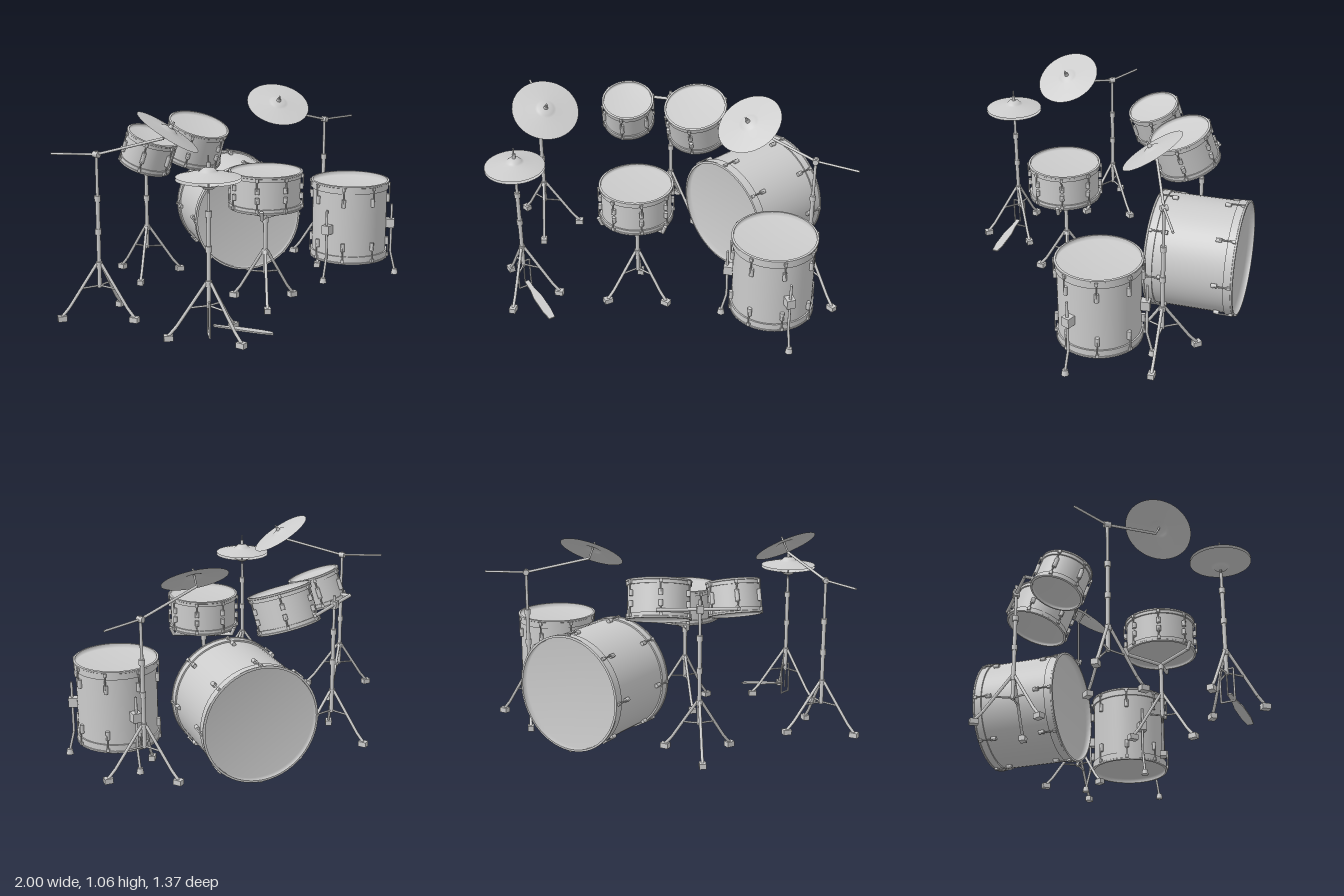
import * as THREE from 'three';

const grey = new THREE.MeshStandardMaterial({ color: 0xcccccc });
const thin = new THREE.MeshStandardMaterial({ color: 0xcccccc, side: THREE.DoubleSide });
const V = (x, y, z) => new THREE.Vector3(x, y, z);
const UP = V(0, 1, 0);
const rad = THREE.MathUtils.degToRad;

function add(parent, name, geo, pos = V(0, 0, 0), mat = grey) {
  const m = new THREE.Mesh(geo, mat);
  m.name = name;
  m.position.copy(pos);
  parent.add(m);
  return m;
}

function group(parent, name, pos = V(0, 0, 0)) {
  const g = new THREE.Group();
  g.name = name;
  g.position.copy(pos);
  parent.add(g);
  return g;
}

// Round bar between two points
function rod(parent, name, a, b, r = 0.008) {
  const d = b.clone().sub(a);
  const m = add(parent, name, new THREE.CylinderGeometry(r, r, d.length(), 12), a.clone().add(b).multiplyScalar(0.5));
  m.quaternion.setFromUnitVectors(UP, d.normalize());
  return m;
}

// Lathe whose profile points are doubled, giving sharp edges
function sharpLathe(points, segments = 48) {
  const pts = points.flatMap(([x, y, soft]) => (soft ? [new THREE.Vector2(x, y)] : [new THREE.Vector2(x, y), new THREE.Vector2(x, y)]));
  return new THREE.LatheGeometry(pts, segments);
}

// Drum along y, centred on its group: shell, hoops, recessed heads and lugs
function drum(parent, name, pos, { r, h, shell, hoop, lugs, phase, recess = 0.025, lug = 0.045 }) {
  const g = group(parent, name, pos);
  const H = h / 2, inner = r - 0.011;
  const half = [
    [shell, H - hoop], [r - 0.003, H - hoop], [r - 0.003, H - 0.012], [r, H - 0.01],
    [r, H - 0.002], [r - 0.003, H], [inner, H], [inner, H - recess, true], [0, H - recess, true],
  ];
  const lower = half.map(([x, y, s]) => [x, -y, s]).reverse();
  add(g, 'shellAndHeads', sharpLathe([...lower, ...half], 56));
  for (const s of [-1, 1]) {
    for (let i = 0; i < lugs; i++) {
      const a = phase + (i / lugs) * Math.PI * 2;
      const out = V(Math.cos(a), 0, Math.sin(a));
      const at = (d, y) => out.clone().multiplyScalar(d).setY(s * y);
      const y0 = H - hoop - 0.03 - lug / 2;
      const body = add(g, 'lug', new THREE.CylinderGeometry(0.011, 0.011, lug, 10), at(shell + 0.007, y0));
      body.rotation.y = -a;
      rod(g, 'tensionRod', at(r + 0.004, y0), at(r + 0.004, H - 0.015), 0.004);
      const claw = add(g, 'claw', new THREE.BoxGeometry(0.012, 0.018, 0.016), at(r + 0.002, H - 0.018));
      claw.rotation.y = -a;
    }
  }
  return g;
}

// Tripod base with a telescopic post; leg angles are degrees from +x towards +z
function stand(parent, name, x, z, top, angles, reach = 0.195) {
  const g = group(parent, name, V(x, 0, z));
  rod(g, 'lowerPost', V(0, 0.16, 0), V(0, Math.min(0.62, top - 0.02), 0), 0.011);
  rod(g, 'upperPost', V(0, 0.3, 0), V(0, top, 0), 0.008);
  for (const y of [0.28, 0.45, 0.62].filter((v) => v < top)) {
    add(g, 'collar', new THREE.CylinderGeometry(0.016, 0.016, 0.03, 14), V(0, y, 0));
  }
  for (const deg of angles) {
    const a = rad(deg);
    const at = (d, y) => V(Math.cos(a) * d, y, Math.sin(a) * d);
    rod(g, 'leg', at(0.012, 0.285), at(reach * 0.8, 0.07), 0.008);
    rod(g, 'legEnd', at(reach * 0.8, 0.07), at(reach, 0.025), 0.008);
    rod(g, 'strut', at(0, 0.17), at(reach * 0.5, 0.162), 0.005);
    const foot = add(g, 'foot', new THREE.BoxGeometry(0.045, 0.028, 0.034), at(reach, 0.016));
    foot.rotation.y = -a;
  }
  return g;
}

// Cymbal disc with raised bell
function cymbalGeometry(r, rise) {
  const p = [[r, 0], [r * 0.65, rise * 0.3], [r * 0.32, rise * 0.5], [r * 0.25, rise * 0.65],
    [r * 0.17, rise * 0.93], [0.006, rise]];
  return new THREE.LatheGeometry(p.map(([x, y]) => new THREE.Vector2(x, y)), 48);
}

// Tilted cymbal on a cranked boom stand
function crash(root, name, foot, angles, centre, normal, tail) {
  const s = stand(root, name + 'Stand', foot.x, foot.z, 0.86, angles);
  const local = (v) => v.clone().sub(V(foot.x, 0, foot.z));
  const n = normal.clone().normalize();
  const tip = centre.clone().addScaledVector(n, -0.045);
  const joint = V(0, 0.842, 0);
  rod(s, 'boomArm', joint, local(tip), 0.007);
  rod(s, 'boomTail', joint, local(tail), 0.006);
  const knuckle = add(s, 'boomJoint', new THREE.CylinderGeometry(0.016, 0.016, 0.034, 14), joint);
  knuckle.rotation.x = Math.PI / 2;
  rod(s, 'cymbalRod', local(tip), local(centre.clone().addScaledVector(n, 0.05)), 0.005);
  const c = group(root, name, centre);
  c.quaternion.setFromUnitVectors(UP, n);
  add(c, 'cymbalDisc', cymbalGeometry(0.175, 0.024), V(0, -0.008, 0), thin);
  add(c, 'wingNut', new THREE.CylinderGeometry(0.009, 0.012, 0.018, 12), V(0, 0.024, 0));
}

export function createModel() {
  const root = new THREE.Group();
  root.name = 'drumKit';

  // Bass drum lying on its side
  const bass = drum(root, 'bassDrum', V(0.41, 0.322, -0.238),
    { r: 0.308, h: 0.47, shell: 0.297, hoop: 0.05, lugs: 8, phase: Math.atan2(0.6, 0.8), recess: 0.035, lug: 0.03 });
  bass.quaternion.setFromUnitVectors(UP, V(-0.6, 0, 0.8));

  // Floor tom with three cranked legs
  const floorTom = drum(root, 'floorTom', V(0.625, 0.327, 0.4),
    { r: 0.22, h: 0.445, shell: 0.209, hoop: 0.045, lugs: 8, phase: Math.PI / 8 });
  for (const deg of [60, 180, 300]) {
    const a = rad(deg);
    const at = (d, y) => V(Math.cos(a) * d, y - 0.327, Math.sin(a) * d);
    rod(floorTom, 'floorTomLeg', at(0.238, 0.41), at(0.238, 0.13), 0.007);
    rod(floorTom, 'floorTomLegEnd', at(0.238, 0.13), at(0.265, 0.02), 0.007);
    add(floorTom, 'floorTomFoot', new THREE.CylinderGeometry(0.014, 0.02, 0.03, 12), at(0.265, 0.015));
    const b = add(floorTom, 'legBracket', new THREE.BoxGeometry(0.05, 0.05, 0.045), at(0.23, 0.3));
    b.rotation.y = -a;
  }

  // Snare drum on a basket stand
  drum(root, 'snareDrum', V(-0.11, 0.617, 0.337),
    { r: 0.192, h: 0.195, shell: 0.181, hoop: 0.028, lugs: 8, phase: Math.PI / 8, recess: 0.018, lug: 0.03 });
  const basket = stand(root, 'snareStand', -0.11, 0.337, 0.47, [20, 140, 260], 0.18);
  for (const deg of [30, 150, 270]) {
    const a = rad(deg);
    const at = (d, y) => V(Math.cos(a) * d, y, Math.sin(a) * d);
    rod(basket, 'basketArm', at(0, 0.465), at(0.185, 0.5), 0.01);
    rod(basket, 'basketFork', at(0.185, 0.495), at(0.205, 0.54), 0.01);
  }

  // Two rack toms tilted towards the front, on a shared stand
  const toms = [
    ['smallTom', V(-0.315, 0.778, -0.28), { r: 0.143, h: 0.18, shell: 0.133 }, V(0.06, 0.94, 0.33)],
    ['largeTom', V(0.075, 0.772, -0.283), { r: 0.172, h: 0.205, shell: 0.162 }, V(-0.03, 0.94, 0.33)],
  ];
  const tomStand = stand(root, 'tomStand', -0.12, -0.477, 0.82, [30, 150, 270]);
  rod(tomStand, 'crossBar', V(-0.19, 0.77, 0), V(0.22, 0.77, 0), 0.009);
  add(tomStand, 'crossBarClamp', new THREE.BoxGeometry(0.035, 0.04, 0.035), V(0, 0.77, 0));
  for (const [name, pos, size, axis] of toms) {
    const t = drum(root, name, pos, { ...size, hoop: 0.03, lugs: 6, phase: Math.PI / 6, recess: 0.02, lug: 0.03 });
    t.quaternion.setFromUnitVectors(UP, axis.normalize());
    rod(tomStand, 'tomHolder', V(pos.x + 0.12, 0.77, 0), V(pos.x + 0.12, 0.765, pos.z + 0.477 - size.shell + 0.01), 0.009);
  }

  // Crash cymbals
  crash(root, 'rightCrash', V(-0.81, 0, -0.185), [214, 348, 76], V(-0.645, 0.972, 0.142),
    V(0.325, 0.84, 0.436), V(-0.925, 0.84, -0.385));
  crash(root, 'leftCrash', V(0.775, 0, 0.125), [267, 37, 155], V(0.415, 0.972, 0.045),
    V(-0.325, 0.84, 0.436), V(1.0, 0.84, 0.172));

  // Hi-hat: facing cymbals, pull rod and pedal
  const hat = stand(root, 'hiHatStand', -0.72, 0.445, 0.72, [0, 90, 226]);
  rod(hat, 'pullRod', V(0, 0.05, 0), V(0, 0.9, 0), 0.004);
  add(hat, 'topCymbal', cymbalGeometry(0.155, 0.045), V(0, 0.798, 0), thin);
  const bottom = add(hat, 'bottomCymbal', cymbalGeometry(0.155, 0.045), V(0, 0.784, 0), thin);
  bottom.rotation.x = Math.PI;
  add(hat, 'hiHatClutch', new THREE.CylinderGeometry(0.009, 0.009, 0.03, 12), V(0, 0.853, 0));
  for (const s of [-1, 1]) {
    rod(hat, 'pedalFrame', V(0.025 * s, 0.02, -0.025 * s), V(0.025 * s, 0.19, -0.025 * s), 0.005);
  }
  for (const y of [0.02, 0.19]) rod(hat, 'pedalFrameBar', V(-0.025, y, 0.025), V(0.025, y, -0.025), 0.005);
  const plate = new THREE.Shape([[0, -0.012], [0.07, -0.014], [0.13, -0.024], [0.24, -0.024], [0.295, -0.016],
    [0.295, 0.016], [0.24, 0.024], [0.13, 0.024], [0.07, 0.014], [0, 0.012]].map(([x, y]) => new THREE.Vector2(x, y)));
  const plateGeo = new THREE.ExtrudeGeometry(plate, { depth: 0.008, bevelEnabled: false }).rotateX(-Math.PI / 2);
  const pedal = add(hat, 'pedal', plateGeo, V(0.015, 0.065, 0.015));
  pedal.rotation.set(0, -rad(44), -rad(11), 'YXZ');

  return root;
}
